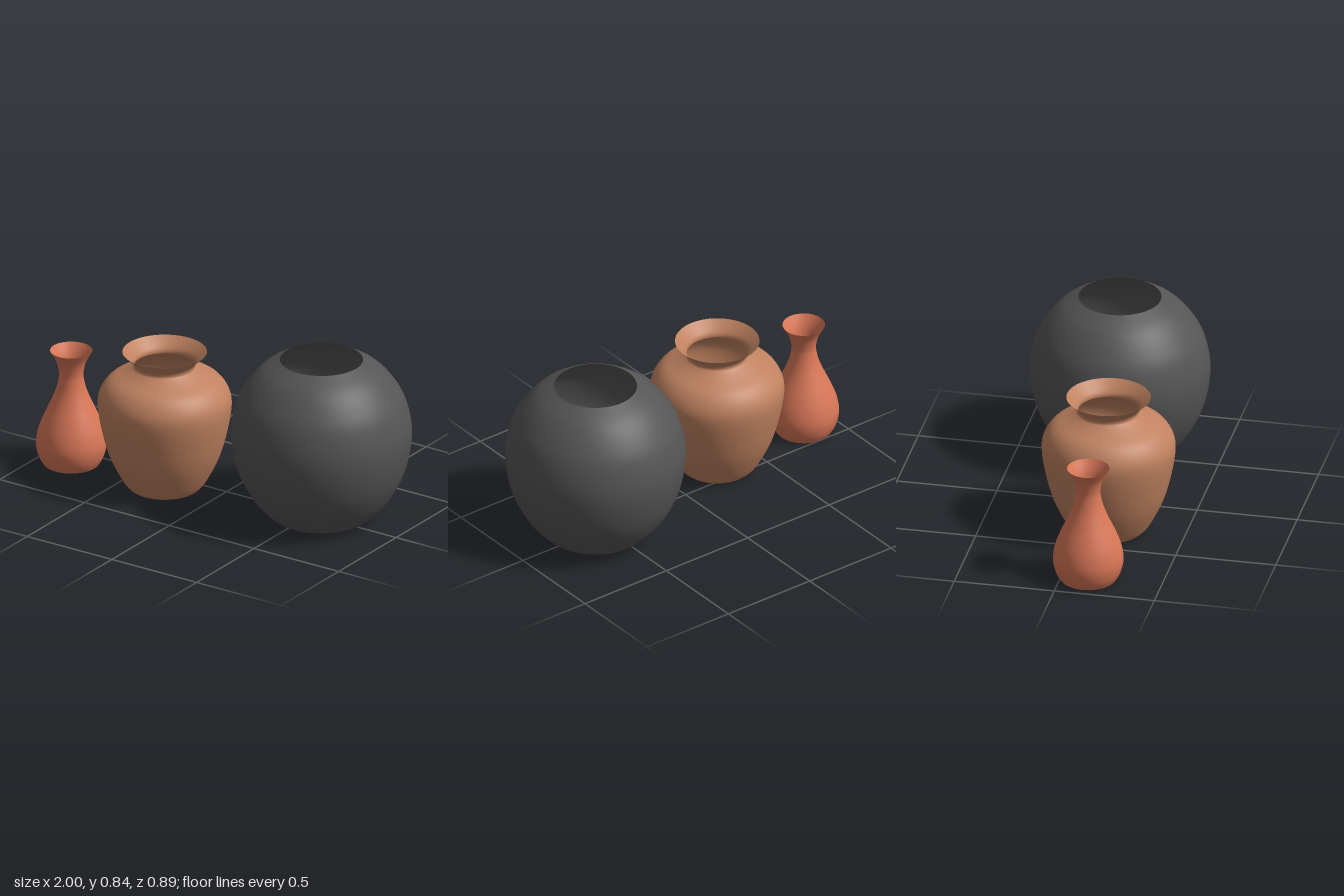
import * as THREE from 'three';

const SEGMENTS = 64;

const paint = (name, color) => {
  const m = new THREE.MeshStandardMaterial({ color, side: THREE.DoubleSide });
  m.name = name;
  return m;
};

// One thin-walled vessel: a turned wall through [radius, height] points and a flat base
function makeVase(name, material, profile, x, z) {
  const vase = new THREE.Group();
  vase.name = name;
  const curve = new THREE.SplineCurve(profile.map(([r, y]) => new THREE.Vector2(r, y)));
  const wall = new THREE.Mesh(new THREE.LatheGeometry(curve.getPoints(48), SEGMENTS), material);
  wall.name = name + 'Wall';
  const disc = new THREE.CircleGeometry(profile[0][0], SEGMENTS).rotateX(Math.PI / 2);
  const base = new THREE.Mesh(disc, material);
  base.name = name + 'Base';
  vase.add(wall, base);
  vase.position.set(x, 0, z);
  return vase;
}

export function createModel() {
  const model = new THREE.Group();
  model.name = 'vaseSet';

  // Slim bottle vase with a flared lip
  model.add(makeVase('slimVase', paint('terracotta', 0xd97757), [
    [0.134, 0], [0.141, 0.008], [0.162, 0.05], [0.173, 0.11], [0.162, 0.18], [0.136, 0.25],
    [0.104, 0.32], [0.076, 0.39], [0.062, 0.45], [0.061, 0.49], [0.074, 0.545], [0.104, 0.6],
  ], -0.827, 0.133));

  // Broad-shouldered jar with a narrow neck and wide rim
  model.add(makeVase('shoulderedJar', paint('clay brown', 0xc08260), [
    [0.16, 0], [0.178, 0.01], [0.212, 0.055], [0.272, 0.18], [0.31, 0.32], [0.328, 0.44],
    [0.316, 0.51], [0.272, 0.57], [0.2, 0.61], [0.16, 0.635], [0.15, 0.65],
    [0.161, 0.675], [0.207, 0.72],
  ], -0.285, 0.119));

  // Large round pot with a plain cut opening
  model.add(makeVase('roundPot', paint('charcoal', 0x555555), [
    [0.19, 0], [0.215, 0.006], [0.262, 0.035], [0.344, 0.13], [0.413, 0.273], [0.443, 0.45],
    [0.418, 0.6], [0.367, 0.7], [0.293, 0.784], [0.203, 0.84],
  ], 0.557, -0.004));

  return model;
}
